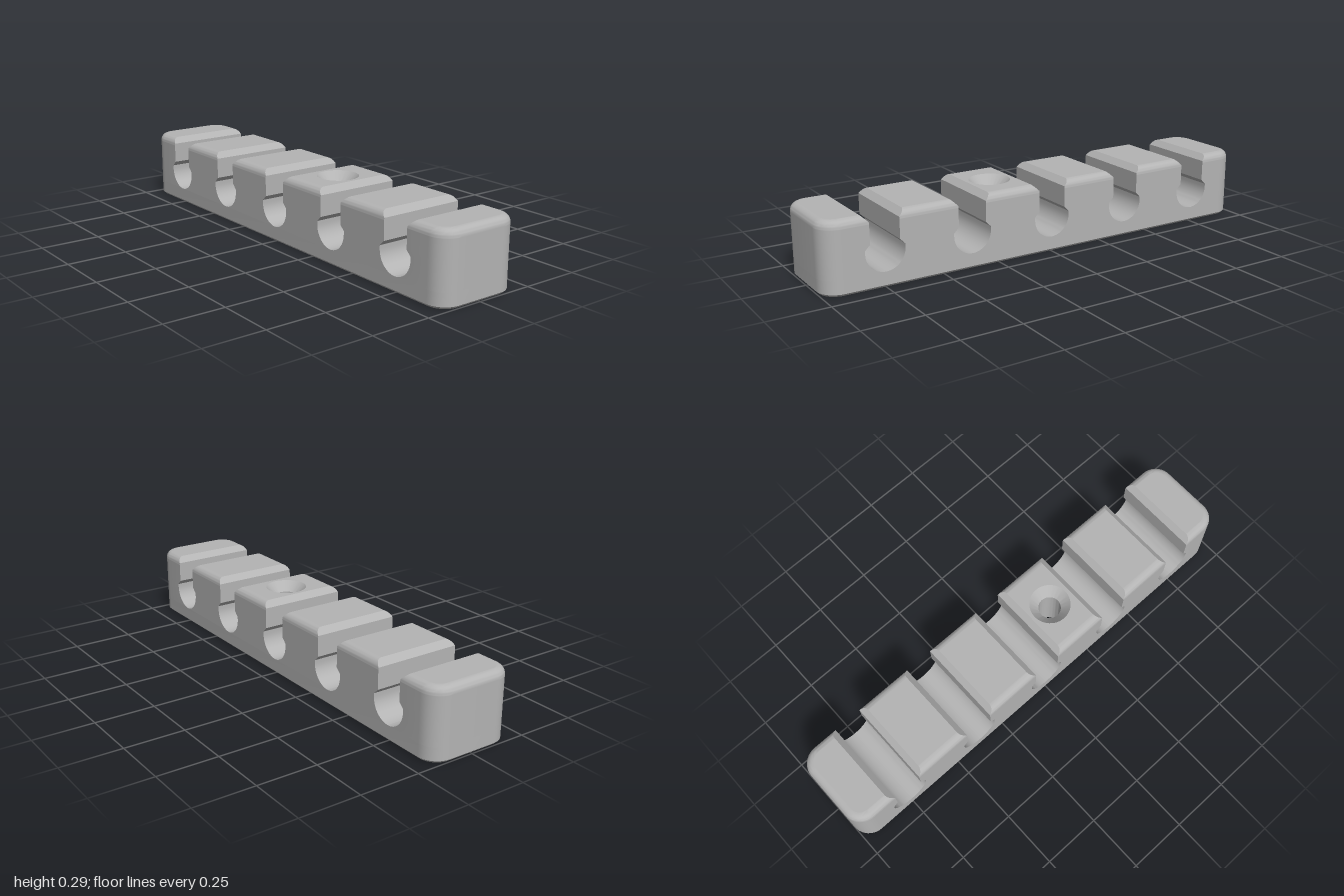
import * as THREE from 'three';
import { toCreasedNormals } from 'three/addons/utils/BufferGeometryUtils.js';

const HALF_X = 1, HALF_Z = 0.186, HEIGHT = 0.294;
const CORNER = 0.08, FILLET = 0.032, BEVEL = 0.01;
const CHANNELS = [-0.75, -0.375, 0, 0.375, 0.75];
const BORE_R = 0.083, BORE_Y = 0.147, SLOT = 0.0615, SLOT_CHAMFER = 0.025;
const FLOOR = BORE_Y - BORE_R;
const SCREW_X = 0.187, SCREW_R = 0.047, SINK_R = 0.086, SINK_DEPTH = 0.04;
const RECESS = { x: 0.81, z: 0.108, depth: 0.025 };

// Inset of the outer wall at height y: bevel at the bottom, fillet at the top
function inset(y) {
  if (y < BEVEL) return BEVEL - y;
  const t = Math.max(0, y - (HEIGHT - FILLET));
  return FILLET - Math.sqrt(Math.max(0, FILLET * FILLET - t * t));
}

// Half width of a channel at height y: round bore, sloped neck, slot, chamfered mouth
function channelHalf(y) {
  if (y <= BORE_Y) return Math.sqrt(Math.max(0, BORE_R ** 2 - (y - BORE_Y) ** 2));
  if (y <= 0.16) return BORE_R;
  if (y <= 0.1815) return BORE_R - (y - 0.16);
  return SLOT + Math.max(0, y - (HEIGHT - SLOT_CHAMFER));
}

// Horizontal outline at height y, with rounded corners on the chosen ends
function outline(xl, xr, y, roundL, roundR) {
  const d = inset(y), w = HALF_Z - d, r = CORNER - d, n = 10, pts = [];
  const corner = (x, sx, sz, start, round) => {
    if (!round) return pts.push([x, y, sz * w]);
    for (let i = 0; i <= n; i++) {
      const a = start - (i / n) * Math.PI / 2;
      pts.push([x - sx * r + r * Math.cos(a), y, sz * (w - r) + r * Math.sin(a)]);
    }
  };
  corner(xl, -1, 1, Math.PI, roundL);
  corner(xr, 1, 1, Math.PI / 2, roundR);
  corner(xr, 1, -1, 0, roundR);
  corner(xl, -1, -1, -Math.PI / 2, roundL);
  return pts;
}

// Skin between stacked loops
function loft(loops) {
  const pos = [];
  for (let i = 0; i + 1 < loops.length; i++) {
    const lo = loops[i], hi = loops[i + 1];
    lo.forEach((a, j) => {
      const k = (j + 1) % lo.length;
      pos.push(...a, ...lo[k], ...hi[k], ...a, ...hi[k], ...hi[j]);
    });
  }
  const g = new THREE.BufferGeometry();
  g.setAttribute('position', new THREE.Float32BufferAttribute(pos, 3));
  return toCreasedNormals(g, 0.4);
}

// Flat horizontal face, facing up (1) or down (-1)
function plate(loop, y, facing, holes = []) {
  const shape = new THREE.Shape(loop.map(p => new THREE.Vector2(p[0], p[2])));
  shape.holes.push(...holes);
  const g = new THREE.ShapeGeometry(shape, 24);
  g.rotateX(-facing * Math.PI / 2);
  return g.translate(0, y, 0);
}

const circleHole = r => new THREE.Path().absarc(SCREW_X, 0, r, 0, Math.PI * 2, true);

const circleLoop = (r, y) => Array.from({ length: 48 }, (_, i) => {
  const a = i / 48 * Math.PI * 2;
  return [SCREW_X + r * Math.cos(a), y, r * Math.sin(a)];
});

const rectLoop = y => [[-1, 1], [-1, -1], [1, -1], [1, 1]]
  .map(([sx, sz]) => [sx * RECESS.x, y, sz * RECESS.z]);

export function createModel() {
  const group = new THREE.Group();
  const grey = new THREE.MeshStandardMaterial({ color: 0xb4b4b4 });
  grey.name = 'grey plastic';
  const add = (name, geometry) => {
    const mesh = new THREE.Mesh(geometry, grey);
    mesh.name = name;
    group.add(mesh);
  };

  // Base bar below the channels
  const full = y => outline(-HALF_X + inset(y), HALF_X - inset(y), y, true, true);
  add('baseWall', loft([0, BEVEL, BEVEL + 0.001, FLOOR].map(full)));

  // Underside with a shallow rectangular recess
  const recessHole = new THREE.Path(rectLoop(0).map(p => new THREE.Vector2(p[0], p[2])));
  add('underside', plate(full(0), 0, -1, [recessHole]));
  add('recessWall', loft([rectLoop(0), rectLoop(RECESS.depth)]));
  add('recessCeiling', plate(rectLoop(0), RECESS.depth, -1, [circleHole(SCREW_R)]));

  // Heights of the tooth sections
  const heights = [];
  for (let i = 0; i <= 12; i++) heights.push(BORE_Y - BORE_R * Math.cos(i / 12 * Math.PI / 2));
  heights.push(0.16, 0.1815, 0.183, 0.26);
  for (let i = 0; i <= 8; i++) heights.push(HEIGHT - FILLET + FILLET * Math.sin(i / 8 * Math.PI / 2));
  heights.push(HEIGHT - SLOT_CHAMFER);
  heights.sort((a, b) => a - b);

  // Teeth between the channels; the two end teeth have rounded outer corners
  const last = CHANNELS.length;
  for (let i = 0; i <= last; i++) {
    const section = y => outline(
      i === 0 ? -HALF_X + inset(y) : CHANNELS[i - 1] + channelHalf(y),
      i === last ? HALF_X - inset(y) : CHANNELS[i] - channelHalf(y),
      y, i === 0, i === last);
    add('tooth' + (i + 1), loft(heights.map(section)));
    const holes = i === 3 ? [circleHole(SINK_R)] : [];
    add('toothTop' + (i + 1), plate(section(HEIGHT), HEIGHT, 1, holes));
  }

  // Countersunk screw hole, facing inwards
  const sinkY = HEIGHT - SINK_DEPTH;
  add('screwHole', loft([circleLoop(SCREW_R, RECESS.depth), circleLoop(SCREW_R, sinkY)]));
  add('countersink', loft([circleLoop(SCREW_R, sinkY), circleLoop(SINK_R, HEIGHT)]));
  return group;
}
